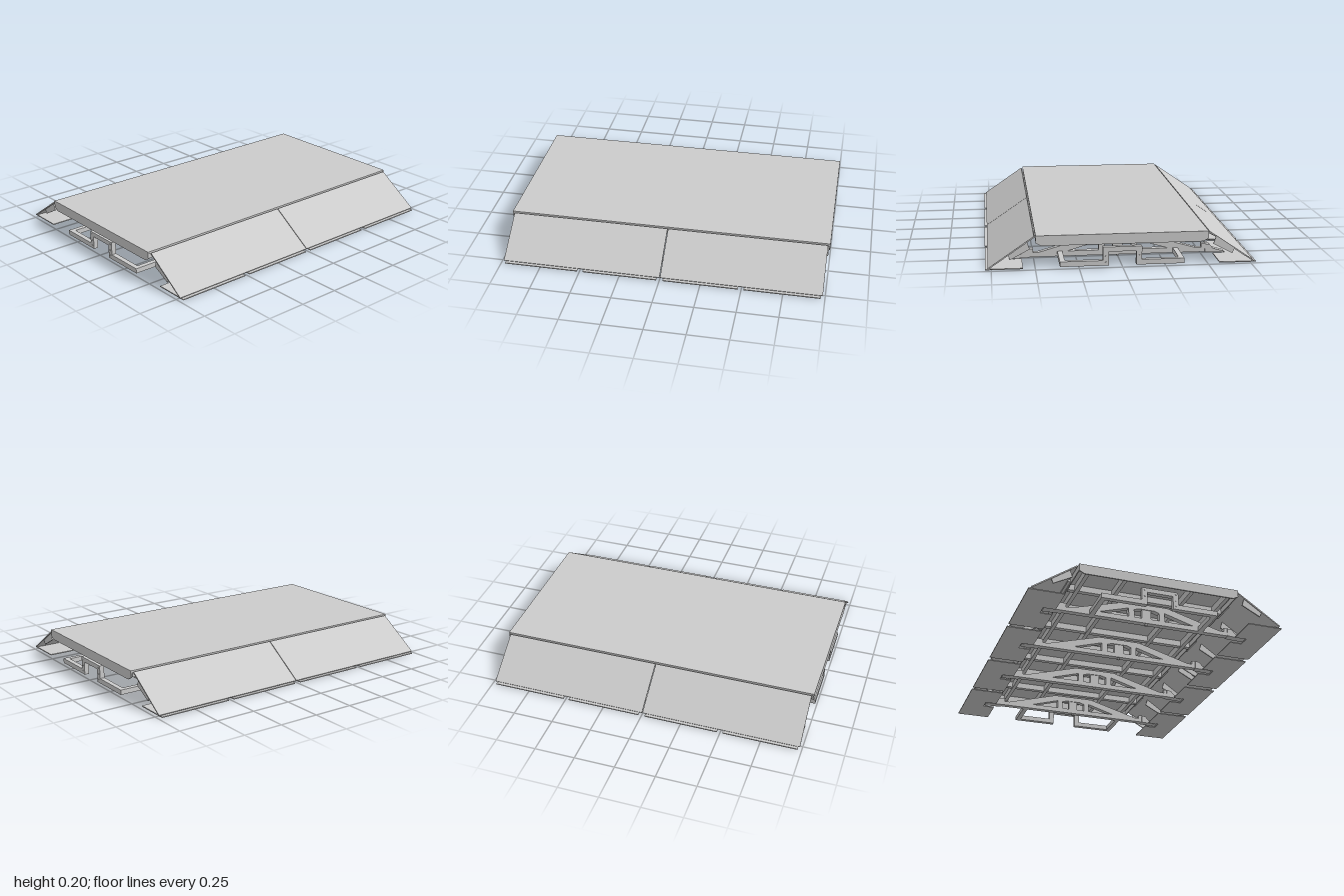
import * as THREE from 'three';

const material = new THREE.MeshStandardMaterial({ color: 0xcccccc, side: THREE.DoubleSide, flatShading: true });

function add(parent, name, geometry, x = 0, y = 0, z = 0) {
  const mesh = new THREE.Mesh(geometry, material);
  mesh.name = name;
  mesh.position.set(x, y, z);
  parent.add(mesh);
  return mesh;
}

// Box given by its limits on each axis
function box(parent, name, x0, x1, y0, y1, z0, z1) {
  return add(parent, name, new THREE.BoxGeometry(x1 - x0, y1 - y0, z1 - z0),
    (x0 + x1) / 2, (y0 + y1) / 2, (z0 + z1) / 2);
}

const outline = (points) => points.map(([x, y]) => new THREE.Vector2(x, y));

// Profile in x and y, extruded along z about the given centre
function profile(parent, name, points, z, depth, holes = []) {
  const shape = new THREE.Shape(outline(points));
  holes.forEach((h) => shape.holes.push(new THREE.Path(outline(h))));
  const geometry = new THREE.ExtrudeGeometry(shape, { depth, bevelEnabled: false });
  geometry.translate(0, 0, -depth / 2);
  return add(parent, name, geometry, 0, 0, z);
}

const mirror = (points, s) => points.map(([x, y]) => [x * s, y]);

function createDeck() {
  const deck = new THREE.Group();
  deck.name = 'deck';
  box(deck, 'deckPlate', -0.497, 0.497, 0.193, 0.2, -1, 1);
  const skirt = [[-0.497, 0.195], [-0.497, 0.157], [-0.465, 0.14], [0.465, 0.14], [0.497, 0.157], [0.497, 0.195]];
  for (const s of [-1, 1]) {
    profile(deck, 'endSkirt', skirt, s * 0.996, 0.008);
    for (const x of [-0.43, -0.21, 0.21, 0.43]) {
      const bolt = add(deck, 'skirtBolt', new THREE.CylinderGeometry(0.005, 0.005, 0.006, 10), x, 0.147, s * 0.997);
      bolt.rotation.x = Math.PI / 2;
    }
    box(deck, 'sideFlange', s * 0.494 - 0.003, s * 0.494 + 0.003, 0.16, 0.195, -0.99, 0.99);
  }
  // Grid of stiffeners below the plate
  for (const x of [-0.44, -0.21, 0.21, 0.44]) box(deck, 'longBeam', x - 0.012, x + 0.012, 0.15, 0.194, -0.99, 0.99);
  for (const z of [-0.75, -0.5, -0.25, 0, 0.25, 0.5, 0.75]) {
    box(deck, 'crossBeam', -0.49, 0.49, 0.155, 0.194, z - 0.015, z + 0.015);
  }
  return deck;
}

function createTruss(z) {
  const truss = new THREE.Group();
  truss.name = 'truss';
  truss.position.z = z;
  const half = [[0.53, 0.01], [0.53, 0.06], [0.503, 0.06], [0.503, 0.036], [0.47, 0.037], [0.135, 0.132]];
  const frame = [...half, ...mirror(half, -1).reverse()];
  const sideHole = [[0.115, 0.04], [0.3, 0.04], [0.115, 0.095]];
  const centreHole = [[-0.08, 0.04], [0.08, 0.04], [0.08, 0.09], [0.05, 0.1], [-0.05, 0.1], [-0.08, 0.09]];
  profile(truss, 'trussFrame', frame, 0, 0.035, [sideHole, mirror(sideHole, -1), centreHole]);
  // Centre post and levelling foot
  box(truss, 'centrePost', -0.03, 0.03, 0.035, 0.105, -0.012, 0.012);
  add(truss, 'levellingFoot', new THREE.CylinderGeometry(0.008, 0.008, 0.012, 12), 0, 0.006, 0);
  for (const s of [-1, 1]) {
    const foot = [[0.525, 0.008], [0.525, 0.058], [0.553, 0.055], [0.575, 0.03], [0.64, 0.012], [0.64, 0.004]];
    profile(truss, 'endBracket', mirror(foot, s), 0, 0.045);
    box(truss, 'hingeTab', s * 0.504 - 0.01, s * 0.504 + 0.01, 0.17, 0.185, -0.08, 0.08);
  }
  return truss;
}

function createHandle(s) {
  const handle = new THREE.Group();
  handle.name = 'endHandle';
  const z0 = s > 0 ? 0.96 : -0.99;
  const z1 = z0 + 0.03;
  for (const m of [-1, 1]) {
    const span = (a, b) => [Math.min(a * m, b * m), Math.max(a * m, b * m)];
    box(handle, 'handleRail', ...span(0.08, 0.36), 0.01, 0.04, z0, z1);
    box(handle, 'handlePost', ...span(0.08, 0.113), 0.01, 0.12, z0, z1);
    box(handle, 'handleArm', ...span(0.33, 0.36), 0.01, 0.04, Math.min(s * 0.75, s * 0.98), Math.max(s * 0.75, s * 0.98));
    for (const y of [0.03, 0.065, 0.105]) {
      const bolt = add(handle, 'handleBolt', new THREE.CylinderGeometry(0.004, 0.004, 0.004, 8), m * 0.097, y, s * 0.991);
      bolt.rotation.x = Math.PI / 2;
    }
  }
  box(handle, 'handleBridge', -0.113, 0.113, 0.092, 0.12, z0, z1);
  return handle;
}

function createRamp(s) {
  const ramp = new THREE.Group();
  ramp.name = s > 0 ? 'leftRamp' : 'rightRamp';
  const panel = [[0.506, 0.194], [0.77, 0.013], [0.766, 0.007], [0.502, 0.188]];
  const gusset = [[0.545, 0.16], [0.655, 0.086], [0.643, 0.057], [0.53, 0.117]];
  for (const side of [-1, 1]) {
    profile(ramp, 'rampPanel', mirror(panel, s), side * 0.494, 0.984);
    for (const z of [0.03, 0.33, 0.66, 0.975]) profile(ramp, 'rampGusset', mirror(gusset, s), side * z, 0.008);
    // Ground plates, notched on the inner edge around the truss ends
    for (const z of [0.25, 0.745]) {
      const shape = new THREE.Shape(outline([
        [0.785, -0.23], [0.785, 0.23], [0.57, 0.23], [0.57, 0.035], [0.645, 0.035],
        [0.645, -0.035], [0.57, -0.035], [0.57, -0.23],
      ].map(([x, v]) => [x * s, v])));
      const geometry = new THREE.ExtrudeGeometry(shape, { depth: 0.006, bevelEnabled: false });
      geometry.rotateX(-Math.PI / 2);
      add(ramp, 'groundPlate', geometry, 0, 0, side * z);
    }
  }
  return ramp;
}

export function createModel() {
  const model = new THREE.Group();
  model.name = 'rampPlatform';
  model.add(createDeck());
  for (const z of [-0.75, -0.25, 0.25, 0.75]) model.add(createTruss(z));
  for (const s of [-1, 1]) model.add(createHandle(s), createRamp(s));
  return model;
}
